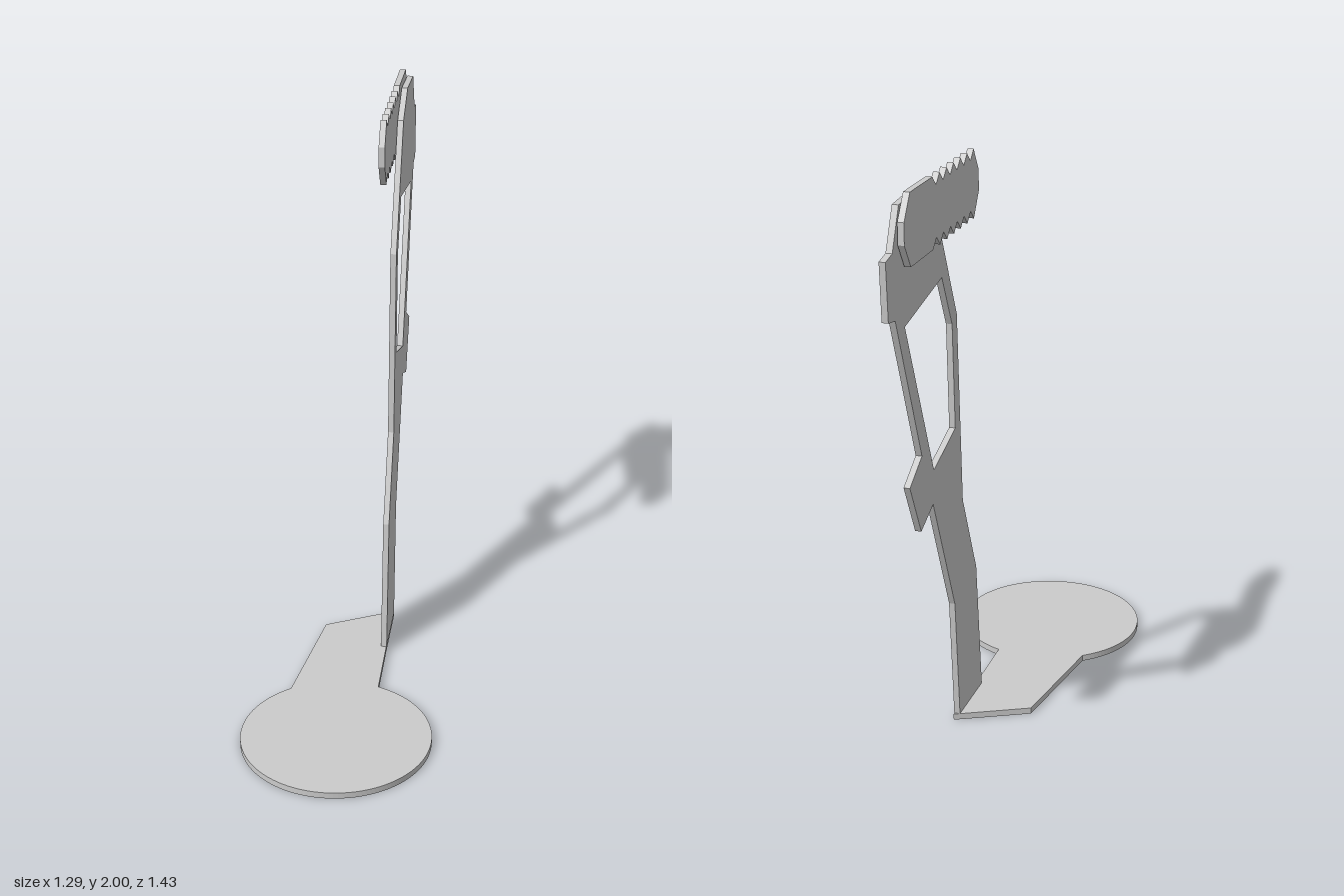
import * as THREE from 'three';

const material = new THREE.MeshStandardMaterial({ color: 0xcccccc, flatShading: true });
const THICK = 0.021;

// Profiles are drawn as seen from the front; the diagonal sheets are stretched to true length.
const stretch = (pts) => pts.map(([x, y]) => new THREE.Vector2(x * Math.SQRT2, y));

// A thin upright sheet turned 45 degrees, with its front face on the line z = x + offset.
function diagonalSheet(name, outline, offset, hole) {
  const shape = new THREE.Shape(stretch(outline));
  if (hole) shape.holes.push(new THREE.Path(stretch(hole)));
  const geometry = new THREE.ExtrudeGeometry(shape, { depth: THICK, bevelEnabled: false });
  geometry.translate(0, 0, -THICK);
  const mesh = new THREE.Mesh(geometry, material);
  mesh.name = name;
  mesh.rotation.y = -Math.PI / 4;
  mesh.position.z = offset;
  return mesh;
}

// Flat foot: a disc joined to a tapering tongue that reaches under the upright.
function createBase() {
  const cx = 0.313, cz = 0.38, r = 0.33;
  const shape = new THREE.Shape();
  shape.moveTo(-0.197, 0.28);
  shape.lineTo(-0.28, 0.02);
  shape.lineTo(-0.014, -0.335);
  shape.absarc(cx, -cz, r, Math.PI * 0.957, Math.PI * 2.643, false);
  shape.lineTo(-0.02, 0.103);
  const geometry = new THREE.ExtrudeGeometry(shape, { depth: 0.022, bevelEnabled: false, curveSegments: 56 });
  geometry.rotateX(-Math.PI / 2);
  const mesh = new THREE.Mesh(geometry, material);
  mesh.name = 'base';
  return mesh;
}

// Leaning upright with side tab, head and window.
function createUpright() {
  const outline = [
    [-0.035, 0.022], [-0.075, 0.505], [-0.172, 0.81], [-0.205, 1.48], [-0.345, 1.9],
    [-0.435, 1.979], [-0.565, 1.968], [-0.606, 1.836], [-0.646, 1.825], [-0.636, 1.635],
    [-0.596, 1.625], [-0.447, 1.116], [-0.526, 1.05], [-0.458, 0.864], [-0.378, 0.912],
    [-0.235, 0.465], [-0.204, 0.022],
  ];
  const window = [[-0.54, 1.583], [-0.304, 1.642], [-0.238, 1.46], [-0.222, 1.095], [-0.37, 1.027]];
  return diagonalSheet('upright', outline, -0.055, window);
}

// Toothed bar lying against the front of the head, symmetric top to bottom.
function createToothedBar() {
  const mid = 1.886, half = 0.114, notch = 0.032, teeth = 6;
  const start = -0.42, pitch = 0.0458;
  const top = [[-0.595, 0.035], [-0.558, half], [start, half]];
  for (let i = 0; i < teeth; i++) {
    top.push([start + (i + 0.5) * pitch, half - notch], [start + (i + 1) * pitch, half]);
  }
  top.push([-0.11, 0.035]);
  const bottom = top.map(([x, y]) => [x, -y]).reverse();
  const outline = [...top, ...bottom].map(([x, y]) => [x, mid + y]);
  return diagonalSheet('toothedBar', outline, -0.022);
}

export function createModel() {
  const group = new THREE.Group();
  group.name = 'stand';
  group.add(createBase(), createUpright(), createToothedBar());
  return group;
}
